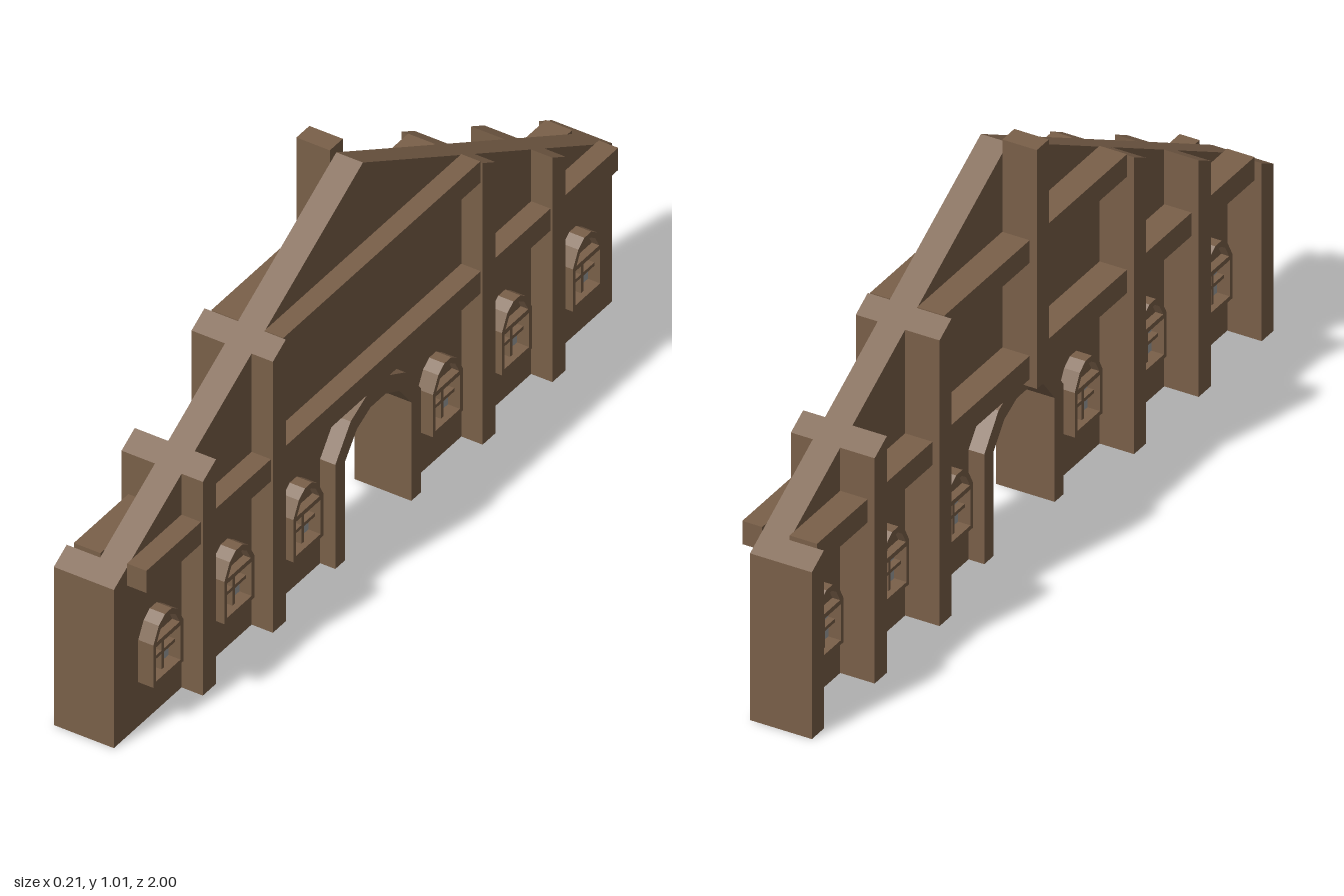
import * as THREE from 'three';

const wood = new THREE.MeshStandardMaterial({ color: 0x7a6049 });
wood.name = 'brown wood';
const glass = new THREE.MeshStandardMaterial({ color: 0xa0a2a3 });
glass.name = 'grey glass';

const FRONT = 0.05, BACK = -0.02; // faces of the wall slab
const roofY = (u) => 0.985 - 0.555 * Math.abs(u);

const toPoints = (pts) => pts.map(([u, y]) => new THREE.Vector2(u, y));

// Extrudes an outline drawn in (u, y), with u along the wall, from x0 to x1
function plate(name, outline, x0, x1, material = wood, holes = []) {
  const shape = new THREE.Shape(toPoints(outline));
  holes.forEach((h) => shape.holes.push(new THREE.Path(toPoints(h))));
  const geo = new THREE.ExtrudeGeometry(shape, { depth: x1 - x0, bevelEnabled: false });
  geo.rotateY(Math.PI / 2);
  geo.translate(x0, 0, 0);
  const mesh = new THREE.Mesh(geo, material);
  mesh.name = name;
  return mesh;
}

const rect = (u0, u1, y0, y1) => [[u0, y0], [u1, y0], [u1, y1], [u0, y1]];

// Five-sided arch head from right springing to left springing
function archHead(c, half, spring, top) {
  const h = top - spring;
  const right = [[half, spring], [half * 0.64, spring + h * 0.7], [half * 0.23, top]];
  const left = right.map(([u, y]) => [-u, y]).reverse();
  return [...right, ...left].map(([u, y]) => [c + u, y]);
}

// Upright whose top follows the roof slope
const post = (u0, u1) => [[u0, 0], [u1, 0], [u1, roofY(u1)], [u0, roofY(u0)]];

// Arched window standing on one face of the wall; dir is the outward direction
function arcWindow(c, face, dir) {
  const g = new THREE.Group();
  g.name = 'window';
  const add = (name, outline, d0, d1, mat, holes) => {
    const a = face + dir * d0, b = face + dir * d1;
    g.add(plate(name, outline, Math.min(a, b), Math.max(a, b), mat, holes));
  };
  const outer = [[c - 0.06, 0.12], [c + 0.06, 0.12], ...archHead(c, 0.06, 0.235, 0.293)];
  const lower = rect(c - 0.049, c + 0.049, 0.131, 0.224);
  const upper = archHead(c, 0.046, 0.236, 0.279);
  add('windowFrame', outer, 0, 0.04, wood, [lower, upper]);
  add('windowPane', lower, 0, 0.008, glass);
  add('windowFanPanel', upper, 0, 0.02, wood);
  add('windowMullion', rect(c - 0.005, c + 0.005, 0.131, 0.224), 0.008, 0.025);
  add('windowBar', rect(c - 0.049, c + 0.049, 0.173, 0.182), 0.008, 0.025);
  return g;
}

export function createModel() {
  const model = new THREE.Group();
  model.name = 'gableWall';

  // Gabled slab with the doorway cut out
  const doorway = archHead(0, 0.133, 0.268, 0.354);
  model.add(plate('wall', [
    [1, 0], [1, roofY(1)], [0, roofY(0)], [-1, roofY(1)], [-1, 0],
    [-0.133, 0], ...doorway.slice().reverse(), [0.133, 0],
  ], BACK, FRONT));

  // Doorway surround on both faces
  const surround = [
    [0.133, 0], [0.172, 0], ...archHead(0, 0.172, 0.283, 0.398),
    [-0.172, 0], [-0.133, 0], ...doorway.slice().reverse(),
  ];
  model.add(plate('frontDoorSurround', surround, FRONT, 0.09));
  model.add(plate('backDoorSurround', surround, -0.06, BACK));

  // Posts and windows, mirrored about the middle
  for (const s of [-1, 1]) {
    for (const [a, b] of [[0.395, 0.447], [0.675, 0.728], [0.948, 1]]) {
      const outline = s > 0 ? post(a, b) : post(-b, -a);
      model.add(plate('backPost', outline, -0.108, BACK));
      if (b < 1) model.add(plate('frontPost', outline, FRONT, 0.106));
    }
    for (const c of [0.28, 0.557, 0.842]) {
      model.add(arcWindow(s * c, FRONT, 1));
      model.add(arcWindow(s * c, BACK, -1));
    }
  }

  // Ridge post above the doorway
  model.add(plate('ridgePost', rect(-0.026, 0.026, 0.39, 1.006), -0.108, BACK));

  // Horizontal beams
  const lowBeam = rect(-0.947, 0.947, 0.41, 0.47);
  const highBeam = rect(-0.395, 0.395, 0.71, 0.768);
  model.add(plate('frontLowerBeam', lowBeam, FRONT, 0.101));
  model.add(plate('frontUpperBeam', highBeam, FRONT, 0.1));
  model.add(plate('backLowerBeam', lowBeam, -0.09, BACK));
  model.add(plate('backUpperBeam', highBeam, -0.09, BACK));

  return model;
}
